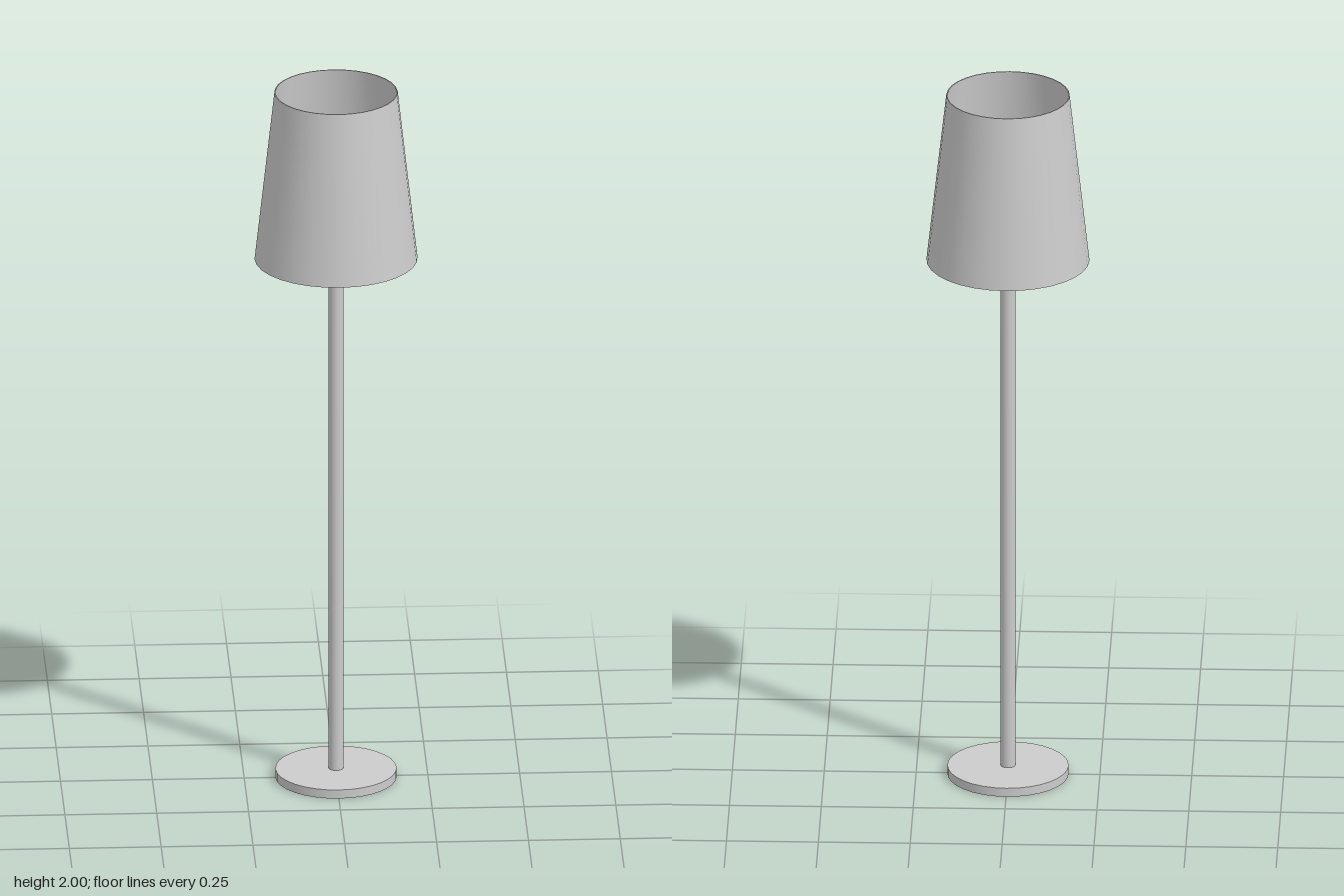
import * as THREE from 'three';

const material = new THREE.MeshStandardMaterial({ color: 0xcccccc });

function add(parent, name, geometry, y = 0) {
  const mesh = new THREE.Mesh(geometry, material);
  mesh.name = name;
  mesh.position.y = y;
  parent.add(mesh);
  return mesh;
}

// Conical wall with real thickness, open at both ends; each strip is a separate lathe so its edges stay sharp
function shell(parent, name, rBottom, rTop, y0, y1, t) {
  const group = new THREE.Group();
  group.name = name;
  const corners = [[rBottom, y0], [rTop, y1], [rTop - t, y1], [rBottom - t, y0]]
    .map(([r, y]) => new THREE.Vector2(r, y));
  ['Outside', 'TopRim', 'Inside', 'BottomRim'].forEach((side, i) => {
    add(group, name + side, new THREE.LatheGeometry([corners[i], corners[(i + 1) % 4]], 32));
  });
  parent.add(group);
}

export function createModel() {
  const lamp = new THREE.Group();
  lamp.name = 'floorLamp';

  // Foot and pole
  add(lamp, 'base', new THREE.CylinderGeometry(0.165, 0.165, 0.025, 32), 0.0125);
  add(lamp, 'pole', new THREE.CylinderGeometry(0.02, 0.02, 1.67, 24), 0.86);

  // Tapered shade
  shell(lamp, 'shade', 0.222, 0.168, 1.515, 2, 0.003);

  // Collar on the pole that carries the shade
  add(lamp, 'collar', new THREE.CylinderGeometry(0.028, 0.028, 0.02, 24), 1.68);

  // Four thin struts sloping from the collar to the lower rim
  const up = new THREE.Vector3(0, 1, 0);
  for (let i = 0; i < 4; i++) {
    const a = (i * Math.PI) / 2;
    const inner = new THREE.Vector3(0.025 * Math.cos(a), 1.68, 0.025 * Math.sin(a));
    const outer = new THREE.Vector3(0.219 * Math.cos(a), 1.52, 0.219 * Math.sin(a));
    const dir = outer.clone().sub(inner);
    const strut = add(lamp, 'strut' + (i + 1), new THREE.CylinderGeometry(0.0018, 0.0018, dir.length(), 8));
    strut.position.copy(inner).add(outer).multiplyScalar(0.5);
    strut.quaternion.setFromUnitVectors(up, dir.normalize());
  }
  return lamp;
}
